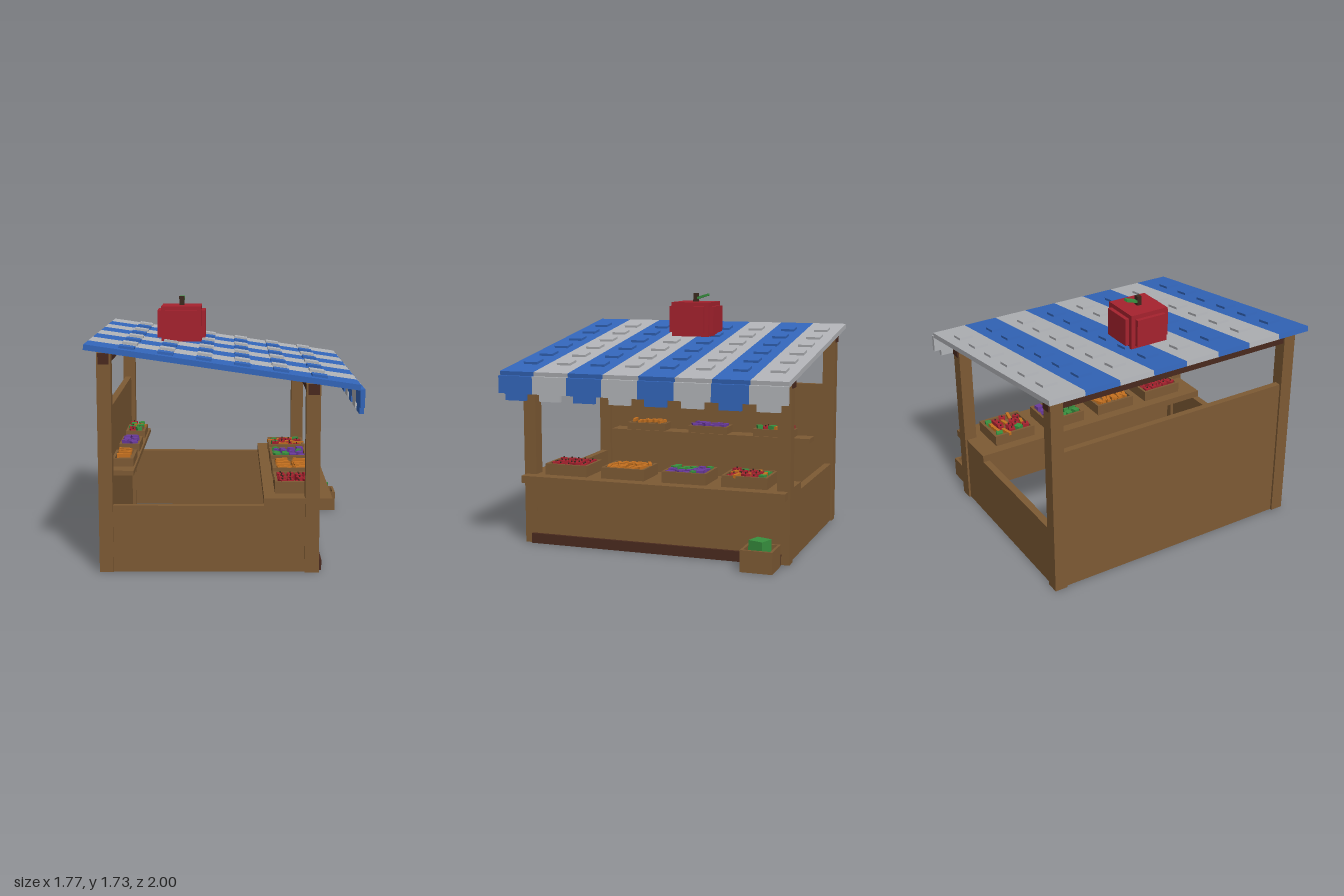
import * as THREE from 'three';

const mat = (name, color) => Object.assign(new THREE.MeshStandardMaterial({ color }), { name });
const wood = mat('wood', 0x7d5a34);
const darkWood = mat('darkWood', 0x4a2a1e);
const blue = mat('blueCanvas', 0x3366bb);
const white = mat('paleCanvas', 0xb2b4b8);
const red = mat('red', 0xa6222e);
const green = mat('green', 0x38903f);
const orange = mat('orange', 0xc4701f);
const purple = mat('purple', 0x6a3a9c);
const stemBrown = mat('stemBrown', 0x3c2a1e);

let seed = 7;
const rand = () => (seed = (seed * 16807) % 2147483647) / 2147483647;

// Box given by its extents on each axis
function box(parent, name, material, [x0, x1], [y0, y1], [z0, z1]) {
  const mesh = new THREE.Mesh(new THREE.BoxGeometry(x1 - x0, y1 - y0, z1 - z0), material);
  mesh.position.set((x0 + x1) / 2, (y0 + y1) / 2, (z0 + z1) / 2);
  mesh.name = name;
  parent.add(mesh);
  return mesh;
}

function group(parent, name) {
  const g = new THREE.Group();
  g.name = name;
  parent.add(g);
  return g;
}

// Open crate: four sides and a raised floor
function crate(parent, [x0, x1], [y0, y1], [z0, z1], floor, t = 0.018) {
  const g = group(parent, 'crate');
  box(g, 'crateSide', wood, [x0, x0 + t], [y0, y1], [z0, z1]);
  box(g, 'crateSide', wood, [x1 - t, x1], [y0, y1], [z0, z1]);
  box(g, 'crateEnd', wood, [x0 + t, x1 - t], [y0, y1], [z0, z0 + t]);
  box(g, 'crateEnd', wood, [x0 + t, x1 - t], [y0, y1], [z1 - t, z1]);
  box(g, 'crateFloor', wood, [x0 + t, x1 - t], [y0 + 0.015, floor], [z0 + t, z1 - t]);
  return g;
}

// Jumbled produce filling a crate on a loose grid
function fill(parent, [x0, x1], y, [z0, z1], nx, nz, colours) {
  const g = group(parent, 'produce');
  for (let i = 0; i < nx; i++) for (let j = 0; j < nz; j++) {
    const m = colours[Math.floor(rand() * colours.length)];
    const s = 0.036 + rand() * 0.012;
    const long = m === orange;
    const item = group(g, long ? 'carrot' : 'fruit');
    box(item, 'body', m, long ? [-0.045, 0.045] : [-s / 2, s / 2],
      long ? [-0.011, 0.011] : [-s / 2, s / 2], long ? [-0.011, 0.011] : [-s / 2, s / 2]);
    if (m === red) box(item, 'stem', stemBrown, [-0.004, 0.004], [s / 2, s / 2 + 0.01], [-0.004, 0.004]);
    item.position.set(
      x0 + (x1 - x0) * (i + 0.5) / nx + (rand() - 0.5) * 0.015,
      y - (long ? 0.004 : 0.016) + (rand() - 0.5) * 0.014,
      z0 + (z1 - z0) * (j + 0.5) / nz + (rand() - 0.5) * 0.015);
    item.rotation.y = long ? (rand() - 0.5) * 0.9 : (rand() - 0.5) * 1.2;
  }
}

export function createModel() {
  const stall = new THREE.Group();
  stall.name = 'marketStall';

  // Posts and roof beams
  const frame = group(stall, 'frame');
  for (const [x0, x1, h] of [[-0.81, -0.72, 1.43], [0.52, 0.612, 1.235]]) {
    for (const z of [-0.91, 0.91]) box(frame, 'post', wood, [x0, x1], [0, h], [z - 0.045, z + 0.045]);
    box(frame, 'roofBeam', darkWood, [x0 + 0.01, x1 - 0.01], [h - 0.07, h], [-0.965, 0.965]);
  }

  // Walls
  const walls = group(stall, 'walls');
  box(walls, 'backWall', wood, [-0.795, -0.75], [0, 1.04], [-0.9, 0.9]);
  box(walls, 'counterWall', wood, [0.565, 0.611], [0, 0.45], [-0.9, 0.9]);
  for (const s of [-1, 1]) {
    const z = [s * 0.89, s * 0.94].sort((a, b) => a - b);
    box(walls, 'sideWall', wood, [-0.75, 0.56], [0, 0.44], z);
  }
  box(walls, 'kickBoard', darkWood, [0.6, 0.632], [0, 0.07], [-0.9, 0.9]);

  // Counter with four crates
  const counter = group(stall, 'counter');
  box(counter, 'counterTop', wood, [0.255, 0.695], [0.44, 0.49], [-0.94, 0.94]);
  const goods = [[0.645, [red]], [0.222, [orange]], [-0.218, [purple, purple, purple, green]], [-0.64, [red, green, orange, red]]];
  for (const [z, colours] of goods) {
    const carrots = colours[0] === orange;
    crate(counter, [0.33, 0.6], [0.49, 0.568], [z - 0.157, z + 0.157], 0.53);
    fill(counter, [0.35, 0.58], 0.568, [z - 0.135, z + 0.135], carrots ? 2 : 4, carrots ? 9 : 5, colours);
    if (carrots) fill(counter, [0.37, 0.56], 0.555, [z - 0.13, z + 0.13], 2, 7, colours);
  }

  // Back shelf with three crates
  const shelf = group(stall, 'backShelf');
  box(shelf, 'shelfBoard', wood, [-0.755, -0.595], [0.607, 0.64], [-0.8, 0.8]);
  for (const [z, colours] of [[0.515, [orange]], [0.005, [purple]], [-0.515, [orange, red, green]]]) {
    crate(shelf, [-0.75, -0.607], [0.64, 0.695], [z - 0.157, z + 0.157], 0.67);
    fill(shelf, [-0.73, -0.627], 0.708, [z - 0.135, z + 0.135], colours[0] === orange && !colours[1] ? 1 : 2, 6, colours);
  }

  // Ground crate with a melon
  const ground = group(stall, 'groundCrate');
  crate(ground, [0.648, 0.862], [0, 0.145], [-0.905, -0.69], 0.09);
  const melon = box(ground, 'melon', green, [0.696, 0.804], [0.088, 0.195], [-0.847, -0.739]);
  melon.rotation.y = -0.33;

  // Sloping striped roof with raised patches
  const roof = group(stall, 'roof');
  roof.position.set(-0.0135, 1.345, 0);
  roof.rotation.z = -Math.atan(0.1466);
  const valance = group(stall, 'valance');
  for (let i = 0; i < 8; i++) {
    const m = i % 2 ? blue : white;
    const z = -0.875 + i * 0.25;
    box(roof, 'roofStripe', m, [-0.88, 0.88], [-0.018, 0.018], [z - 0.125, z + 0.125]);
    for (let k = 0; k < 6; k++) {
      const x = -0.618 + k * 0.248;
      box(roof, 'roofPatch', m, [x - 0.05, x + 0.05], [0.01, 0.034], [z - 0.05, z + 0.05]);
    }
    box(valance, 'valanceStripe', m, [0.855, 0.885], [1.088, 1.207], [z - 0.125, z + 0.125]);
    box(valance, 'valanceTab', m, [0.855, 0.885], [1.042, 1.088], [z - 0.075, z + 0.075]);
  }

  // Large blocky apple on the roof
  const apple = group(stall, 'apple');
  apple.position.set(-0.307, 0, 0);
  box(apple, 'appleCore', red, [-0.14, 0.14], [1.42, 1.667], [-0.14, 0.14]);
  box(apple, 'appleCheeks', red, [-0.168, 0.168], [1.447, 1.637], [-0.11, 0.11]);
  box(apple, 'appleCheeks', red, [-0.11, 0.11], [1.447, 1.637], [-0.168, 0.168]);
  box(apple, 'appleStem', stemBrown, [-0.018, 0.018], [1.66, 1.73], [-0.016, 0.016]);
  const leaf = box(apple, 'appleLeaf', green, [-0.018, 0.018], [1.699, 1.715], [-0.1, -0.012]);
  leaf.rotation.x = 0.3;

  return stall;
}
